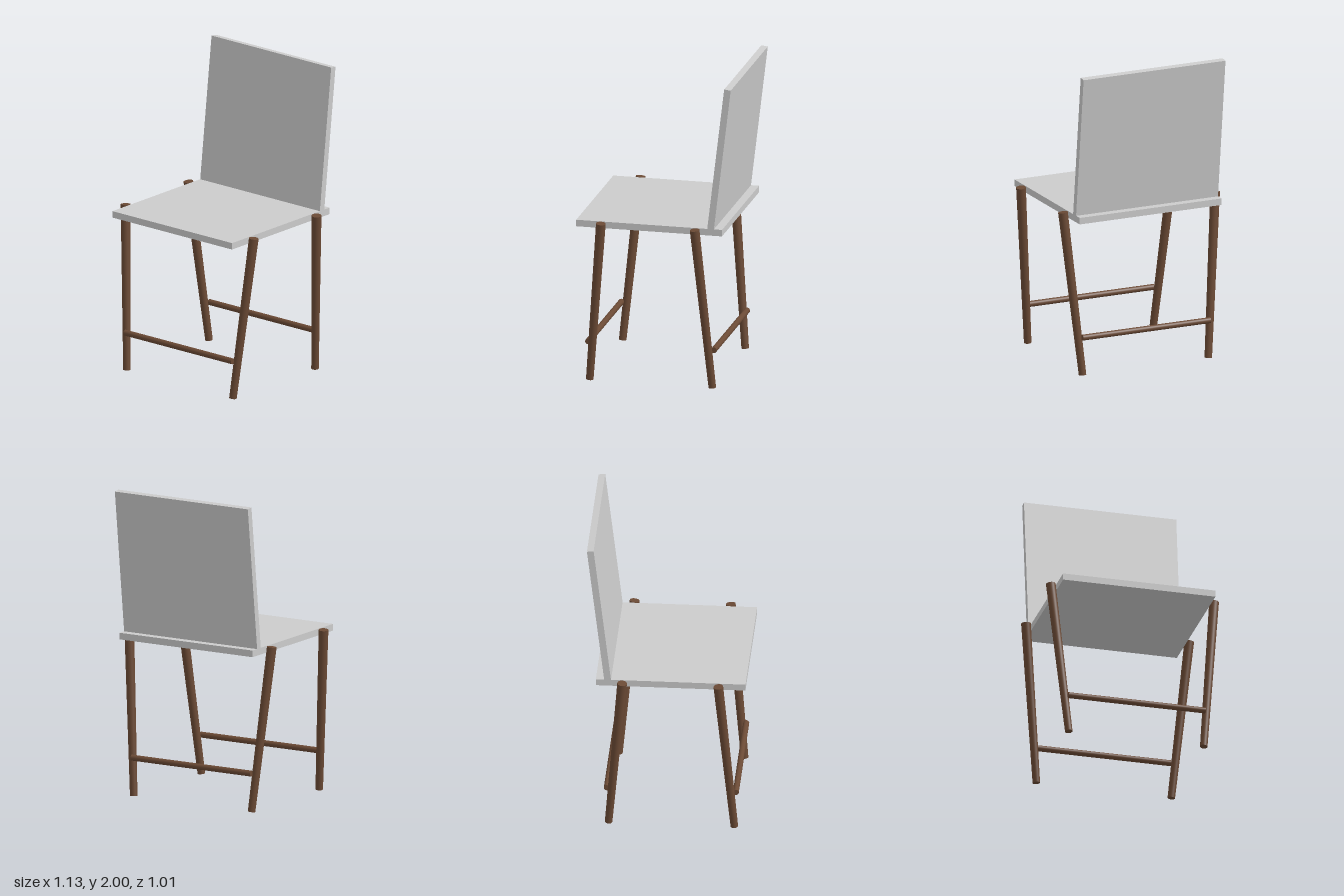
import * as THREE from 'three';

const wood = new THREE.MeshStandardMaterial({ color: 0x6b4a35 });
const grey = new THREE.MeshStandardMaterial({ color: 0xcccccc });

// Round rod running between two points, optionally tapered
function rod(name, from, to, r0, r1) {
  const a = new THREE.Vector3(...from), b = new THREE.Vector3(...to);
  const dir = b.clone().sub(a);
  const mesh = new THREE.Mesh(new THREE.CylinderGeometry(r1, r0, dir.length(), 32), wood);
  mesh.name = name;
  mesh.position.copy(a).add(b).multiplyScalar(0.5);
  mesh.quaternion.setFromUnitVectors(new THREE.Vector3(0, 1, 0), dir.normalize());
  return mesh;
}

export function createModel() {
  const chair = new THREE.Group();
  chair.name = 'chair';

  // Flat seat slab
  const seat = new THREE.Mesh(new THREE.BoxGeometry(1, 0.043, 0.952), grey);
  seat.name = 'seat';
  seat.position.set(0, 1.047, 0.029);
  chair.add(seat);

  // Reclined backrest, pivoting on its lower front edge just inside the seat
  const back = new THREE.Mesh(
    new THREE.BoxGeometry(1, 0.953, 0.043).translate(0, 0.4765, -0.0215), grey);
  back.name = 'backrest';
  back.position.set(0, 1.054, -0.349);
  back.rotation.x = -0.118;
  chair.add(back);

  // Splayed, tapered legs beside the seat and a rung for each pair
  for (const [end, topZ, footZ, rungZ] of [
    ['front', 0.335, 0.43, 0.44],
    ['back', -0.277, -0.37, -0.381],
  ]) {
    for (const [side, s] of [['Left', 1], ['Right', -1]]) {
      chair.add(rod(`${end}${side}Leg`,
        [s * 0.443, 0.003, footZ], [s * 0.536, 1.066, topZ], 0.024, 0.031));
    }
    chair.add(rod(`${end}Rung`, [-0.45, 0.252, rungZ], [0.45, 0.252, rungZ], 0.019, 0.019));
  }
  return chair;
}
